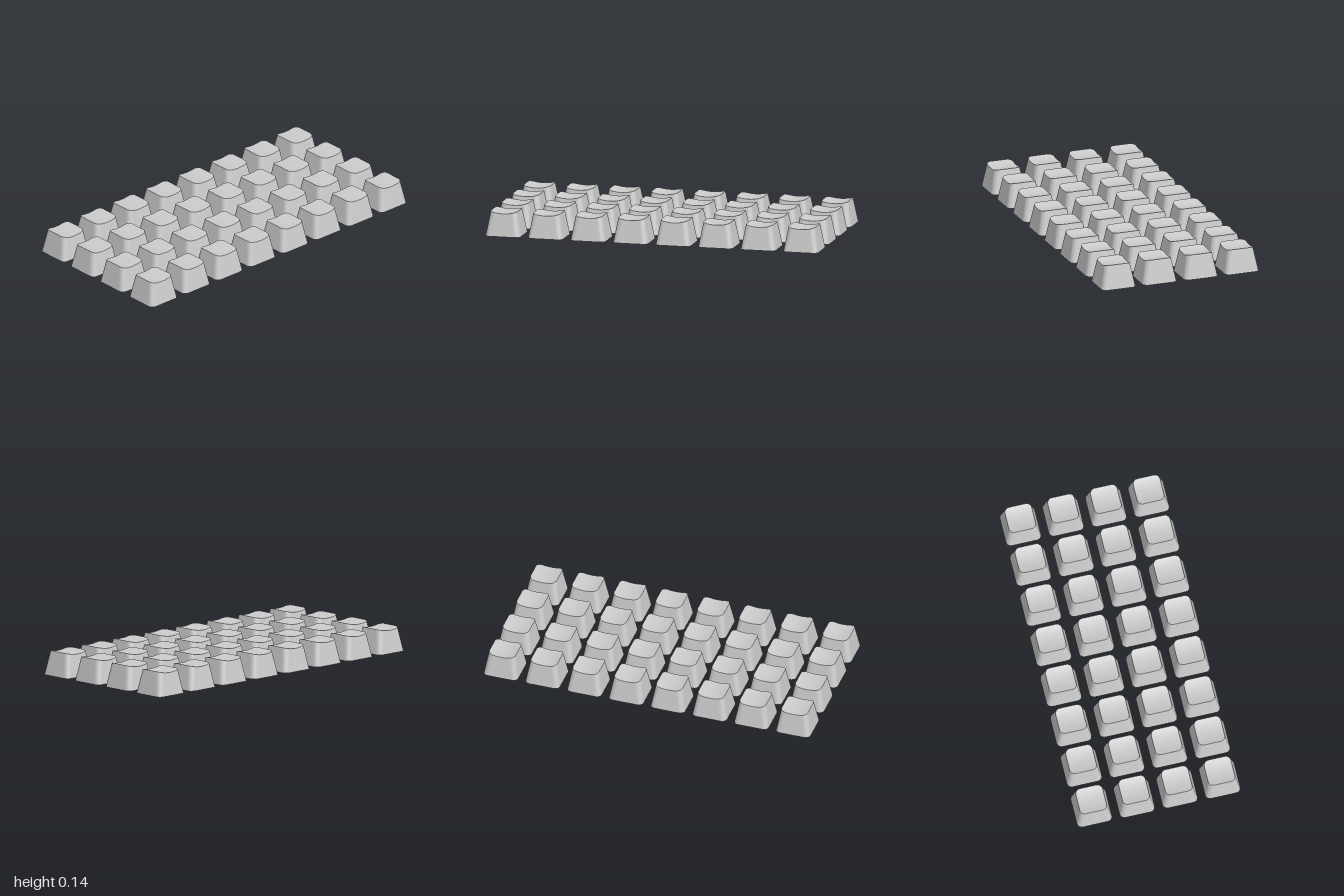
import * as THREE from 'three';
import { mergeGeometries } from 'three/addons/utils/BufferGeometryUtils.js';

const COLS = 8, ROWS = 4, PITCH = 0.2557;
const BASE = 0.105, TOP = 0.08, RADIUS = 0.03;
const ARC = 6, EDGE = 8;

// Height of the cylindrical finger dish across x
const dish = (x) => 0.132 + 0.012 * (x / TOP) ** 2;

// Rounded square outline, with subdivided straight edges
function outline(half) {
  const corners = [];
  for (let k = 0; k < 4; k++) {
    const mid = (k + 0.5) * Math.PI / 2;
    const cx = Math.sign(Math.cos(mid)) * (half - RADIUS);
    const cz = Math.sign(Math.sin(mid)) * (half - RADIUS);
    const arc = [];
    for (let i = 0; i <= ARC; i++) {
      const a = (k + i / ARC) * Math.PI / 2;
      arc.push(new THREE.Vector2(cx + RADIUS * Math.cos(a), cz + RADIUS * Math.sin(a)));
    }
    corners.push(arc);
  }
  return corners.flatMap((arc, k) => {
    const next = corners[(k + 1) % 4][0];
    const edge = [];
    for (let i = 1; i < EDGE; i++) edge.push(arc[ARC].clone().lerp(next, i / EDGE));
    return [...arc, ...edge];
  });
}

// Skin between successive closed rings of points
function skin(rings) {
  const n = rings[0].length, index = [];
  for (let r = 0; r < rings.length - 1; r++) {
    for (let i = 0; i < n; i++) {
      const a = r * n + i, b = r * n + (i + 1) % n;
      index.push(a, a + n, b, b, a + n, b + n);
    }
  }
  const geo = new THREE.BufferGeometry().setFromPoints(rings.flat());
  geo.setIndex(index);
  geo.computeVertexNormals();
  return geo;
}

function keycapGeometry() {
  const base = outline(BASE), top = outline(TOP);
  const baseRing = (s) => base.map((p) => new THREE.Vector3(p.x * s, 0, p.y * s));
  const topRing = (s) => top.map((p) => new THREE.Vector3(p.x * s, dish(p.x * s), p.y * s));
  return mergeGeometries([
    skin([baseRing(0.001), baseRing(1)]),                          // underside
    skin([baseRing(1), topRing(1)]),                               // tapered walls
    skin([1, 0.8, 0.6, 0.4, 0.2, 0.001].map(topRing)),             // dished top
  ]);
}

export function createModel() {
  const model = new THREE.Group();
  model.name = 'keycapSet';
  const material = new THREE.MeshStandardMaterial({ color: 0xcccccc });
  const geometry = keycapGeometry();
  // Grid of identical keycaps
  for (let row = 0; row < ROWS; row++) {
    const rowGroup = new THREE.Group();
    rowGroup.name = `keyRow${row + 1}`;
    rowGroup.position.z = (row - (ROWS - 1) / 2) * PITCH;
    for (let col = 0; col < COLS; col++) {
      const key = new THREE.Mesh(geometry, material);
      key.name = `keycap${row + 1}_${col + 1}`;
      key.position.x = (col - (COLS - 1) / 2) * PITCH;
      rowGroup.add(key);
    }
    model.add(rowGroup);
  }
  return model;
}
